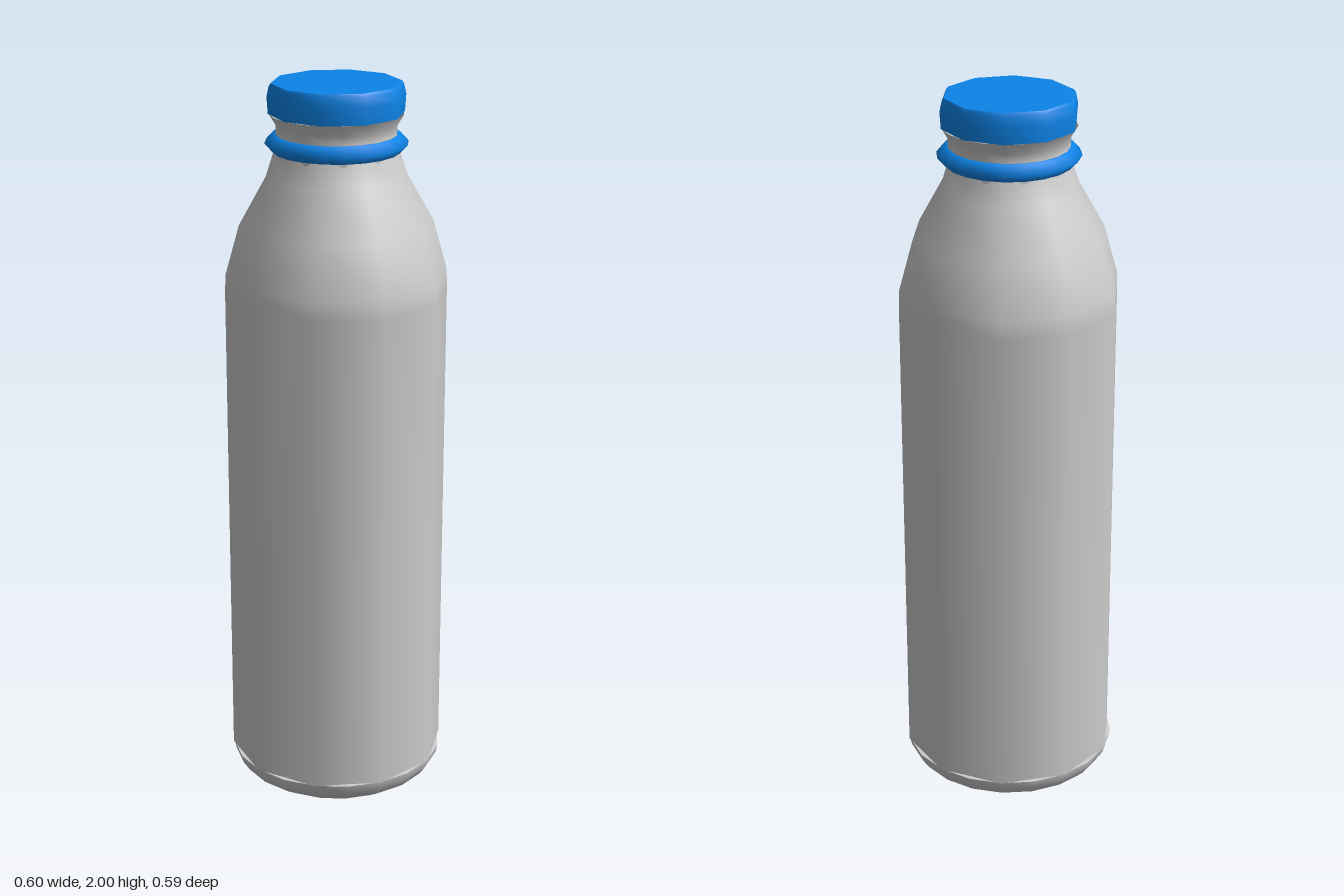
import * as THREE from 'three';

const grey = new THREE.MeshStandardMaterial({ color: 0xcccccc, side: THREE.DoubleSide });
const blue = new THREE.MeshStandardMaterial({ color: 0x0c84e8, side: THREE.DoubleSide });

// Turned part: each profile is a smooth [radius, height] strip, with a crease between strips.
function turned(name, material, sides, ...profiles) {
  const group = new THREE.Group();
  group.name = name;
  profiles.forEach((profile, i) => {
    const points = profile.map(([r, y]) => new THREE.Vector2(r, y));
    const mesh = new THREE.Mesh(new THREE.LatheGeometry(points, sides, Math.PI / 2), material);
    mesh.name = `${name}Surface${i + 1}`;
    group.add(mesh);
  });
  return group;
}

export function createModel() {
  const bottle = new THREE.Group();
  bottle.name = 'bottle';

  bottle.add(
    // Rounded foot with a dimple underneath and a thin ledge meeting the body
    turned('base', grey, 20,
      [[0, 0.045], [0.06, 0.042], [0.11, 0.03], [0.145, 0.006], [0.18, 0], [0.225, 0.005],
        [0.275, 0.037], [0.293, 0.065], [0.297, 0.085]],
      [[0.297, 0.085], [0.27, 0.088]]),
    // Ten-sided straight wall and curved shoulder
    turned('body', grey, 10,
      [[0.3, 0.085], [0.3, 1.44], [0.298, 1.49], [0.26, 1.625], [0.187, 1.755], [0.165, 1.825]]),
    // Neck between the collar and the cap, flaring under the cap
    turned('neck', grey, 20,
      [[0.162, 1.81], [0.16, 1.87], [0.16, 1.89], [0.178, 1.92]]),
    // Pointed sealing ring
    turned('collar', blue, 20,
      [[0.155, 1.82], [0.17, 1.82], [0.19, 1.842], [0.17, 1.864], [0.155, 1.866]]),
    // Screw cap: underside, wall, bevel and flat top
    turned('cap', blue, 10,
      [[0.15, 1.92], [0.18, 1.92]],
      [[0.18, 1.92], [0.183, 1.965], [0.177, 1.992], [0.172, 2]],
      [[0.172, 2], [0, 2]])
  );
  return bottle;
}
